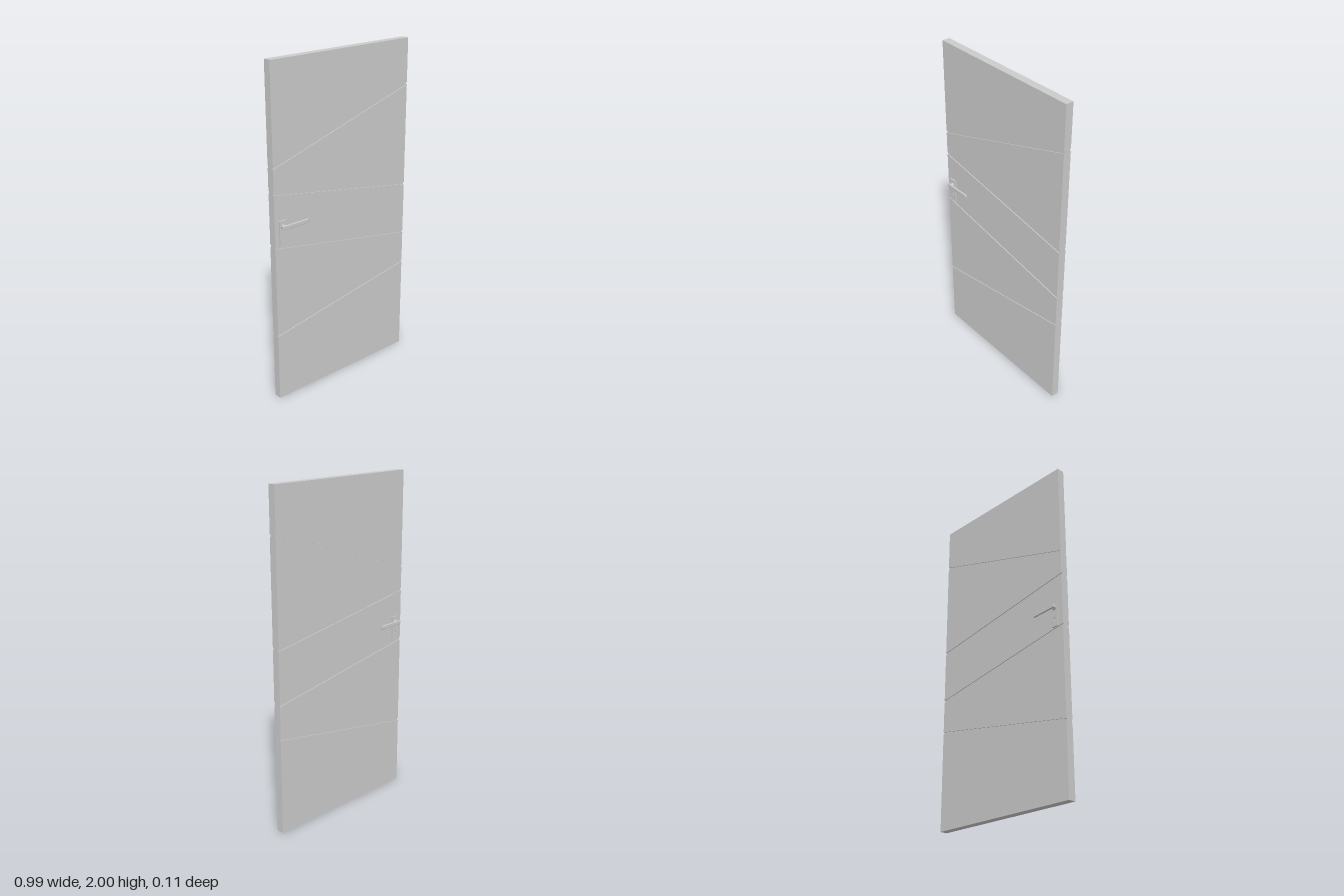
import * as THREE from 'three';
import { RoundedBoxGeometry } from 'three/addons/geometries/RoundedBoxGeometry.js';

const material = new THREE.MeshStandardMaterial({ color: 0xcccccc });
const HALF_W = 0.495, HALF_T = 0.0235, GROOVE_DEPTH = 0.005, GROOVE_HALF = 0.0075;

function add(parent, geometry, name, x = 0, y = 0, z = 0) {
  const mesh = new THREE.Mesh(geometry, material);
  mesh.name = name;
  mesh.position.set(x, y, z);
  parent.add(mesh);
  return mesh;
}

// Full-width section of the leaf between two slanted edges, given as [left, right] heights
function leafSection(bottom, top, halfThickness) {
  const shape = new THREE.Shape([
    new THREE.Vector2(-HALF_W, bottom[0]), new THREE.Vector2(HALF_W, bottom[1]),
    new THREE.Vector2(HALF_W, top[1]), new THREE.Vector2(-HALF_W, top[0]),
  ]);
  return new THREE.ExtrudeGeometry(shape, { depth: 2 * halfThickness, bevelEnabled: false })
    .translate(0, 0, -halfThickness);
}

// Cover plate with a keyhole: round top and straight slot below
function plateGeometry() {
  const w = 0.0235;
  const shape = new THREE.Shape([
    new THREE.Vector2(-w, -0.075), new THREE.Vector2(w, -0.075),
    new THREE.Vector2(w, 0.075), new THREE.Vector2(-w, 0.075),
  ]);
  const hole = new THREE.Path();
  hole.moveTo(-0.003, -0.044);
  hole.lineTo(-0.003, -0.029);
  hole.absarc(0, -0.024, 0.006, Math.PI * 1.33, -Math.PI * 0.33, true);
  hole.lineTo(0.003, -0.044);
  shape.holes.push(hole);
  return new THREE.ExtrudeGeometry(shape, { depth: 0.008, bevelEnabled: false, curveSegments: 10 });
}

// One handle set, built facing +z around the spindle axis
function handleSet(name, leverLength) {
  const set = new THREE.Group();
  set.name = name;
  add(set, plateGeometry(), 'coverPlate', 0, -0.04, 0);
  const ring = new THREE.CylinderGeometry(0.015, 0.015, 0.006, 24).rotateX(Math.PI / 2);
  add(set, ring, 'neckRing', 0, 0, 0.011);
  const neck = new THREE.CylinderGeometry(0.0125, 0.0125, 0.017, 24).rotateX(Math.PI / 2);
  add(set, neck, 'neck', 0, 0, 0.0145);
  const lever = new RoundedBoxGeometry(leverLength, 0.023, 0.011, 2, 0.003)
    .translate(leverLength / 2 - 0.02, 0, 0);
  add(set, lever, 'lever', 0, 0, 0.0275);
  return set;
}

export function createModel() {
  const door = new THREE.Group();
  door.name = 'door';

  // Door leaf: thick panels separated by thinner slanted groove strips
  const leaf = new THREE.Group();
  leaf.name = 'doorLeaf';
  door.add(leaf);
  const grooves = [[0.42, 0.592], [0.968, 0.795], [1.282, 1.114], [1.427, 1.734]];
  let bottom = [0, 0];
  for (const line of grooves) {
    const low = line.map((y) => y - GROOVE_HALF);
    const high = line.map((y) => y + GROOVE_HALF);
    add(leaf, leafSection(bottom, low, HALF_T), 'panel');
    add(leaf, leafSection(low, high, HALF_T - GROOVE_DEPTH), 'groove');
    bottom = high;
  }
  add(leaf, leafSection(bottom, [2, 2], HALF_T), 'panel');

  // Handles on both faces, levers pointing toward the hinge side
  const front = handleSet('frontHandle', 0.18);
  front.position.set(-0.443, 1.085, HALF_T);
  door.add(front);

  const back = handleSet('backHandle', 0.16);
  back.position.set(-0.44, 1.085, -HALF_T);
  back.rotation.y = Math.PI;
  const backLever = back.getObjectByName('lever');
  backLever.rotation.set(0, Math.PI - 0.025, -0.04);
  backLever.position.z = 0.029;
  door.add(back);

  return door;
}
